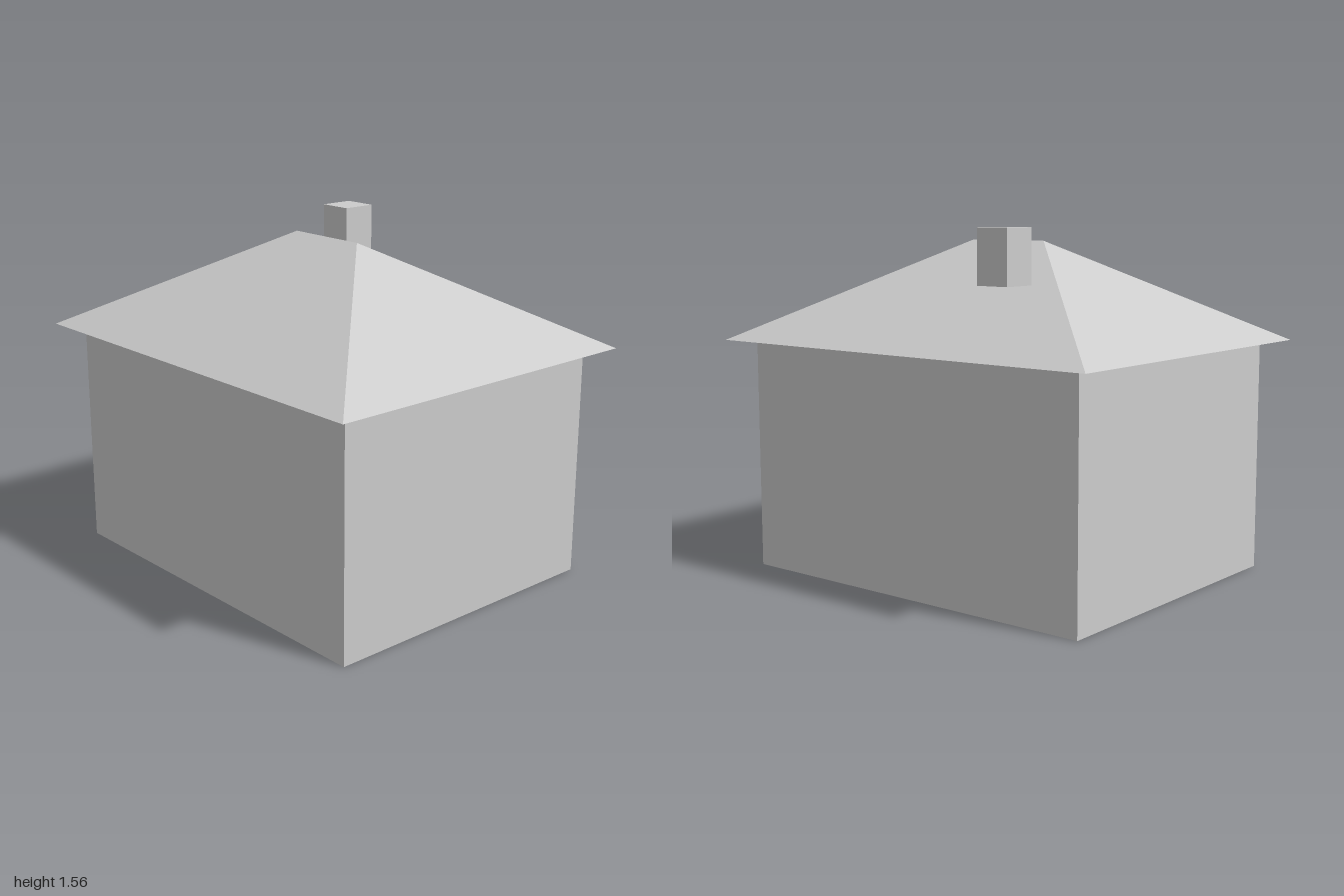
import * as THREE from 'three';

const material = new THREE.MeshStandardMaterial({
  color: 0xcccccc, flatShading: true, side: THREE.DoubleSide,
});

const HALF_W = 0.7, HALF_D = 0.9, WALL_H = 1.105; // walls run up to the roof's underside
const EAVE_W = 0.8, EAVE_D = 1, EAVE_Y = 1.05;
const RIDGE_Y = 1.5, RIDGE_Z = 0.2;

function addMesh(group, name, geometry, x = 0, y = 0, z = 0) {
  const mesh = new THREE.Mesh(geometry, material);
  mesh.name = name;
  mesh.position.set(x, y, z);
  group.add(mesh);
  return mesh;
}

// Thin hipped roof, open underneath
function hipRoofGeometry() {
  const corners = [[1, 1], [1, -1], [-1, -1], [-1, 1]]
    .map(([sx, sz]) => [sx * EAVE_W, EAVE_Y, sz * EAVE_D]);
  const ridgeFront = [0, RIDGE_Y, RIDGE_Z];
  const ridgeBack = [0, RIDGE_Y, -RIDGE_Z];
  const [fl, bl, br, fr] = corners;
  const triangles = [
    fr, fl, ridgeFront,                              // front hip
    bl, br, ridgeBack,                               // back hip
    fl, bl, ridgeBack, fl, ridgeBack, ridgeFront,    // left slope
    br, fr, ridgeFront, br, ridgeFront, ridgeBack,   // right slope
  ];
  const geometry = new THREE.BufferGeometry();
  geometry.setAttribute('position', new THREE.Float32BufferAttribute(triangles.flat(), 3));
  geometry.computeVertexNormals();
  return geometry;
}

export function createModel() {
  const house = new THREE.Group();
  house.name = 'house';

  // Four thin walls, with no floor or ceiling
  ['frontWall', 'leftWall', 'backWall', 'rightWall'].forEach((name, i) => {
    const onSide = i % 2 === 1;
    const width = 2 * (onSide ? HALF_D : HALF_W);
    const distance = onSide ? HALF_W : HALF_D;
    const angle = i * Math.PI / 2;
    const wall = addMesh(house, name, new THREE.PlaneGeometry(width, WALL_H),
      Math.sin(angle) * distance, WALL_H / 2, Math.cos(angle) * distance);
    wall.rotation.y = angle;
  });

  addMesh(house, 'roof', hipRoofGeometry());

  // Chimney block standing clear of the left slope
  addMesh(house, 'chimney', new THREE.BoxGeometry(0.16, 0.24, 0.16), 0.4, 1.445, -0.3);

  // Window panels on the inside of the front and side walls
  for (const side of [-1, 1]) {
    addMesh(house, 'frontWindow', new THREE.BoxGeometry(0.23, 0.44, 0.06),
      side * 0.4, 0.72, HALF_D - 0.034);
    addMesh(house, 'sideWindow', new THREE.BoxGeometry(0.05, 0.25, 0.16),
      side * (HALF_W - 0.029), 0.805, 0);
  }

  return house;
}
